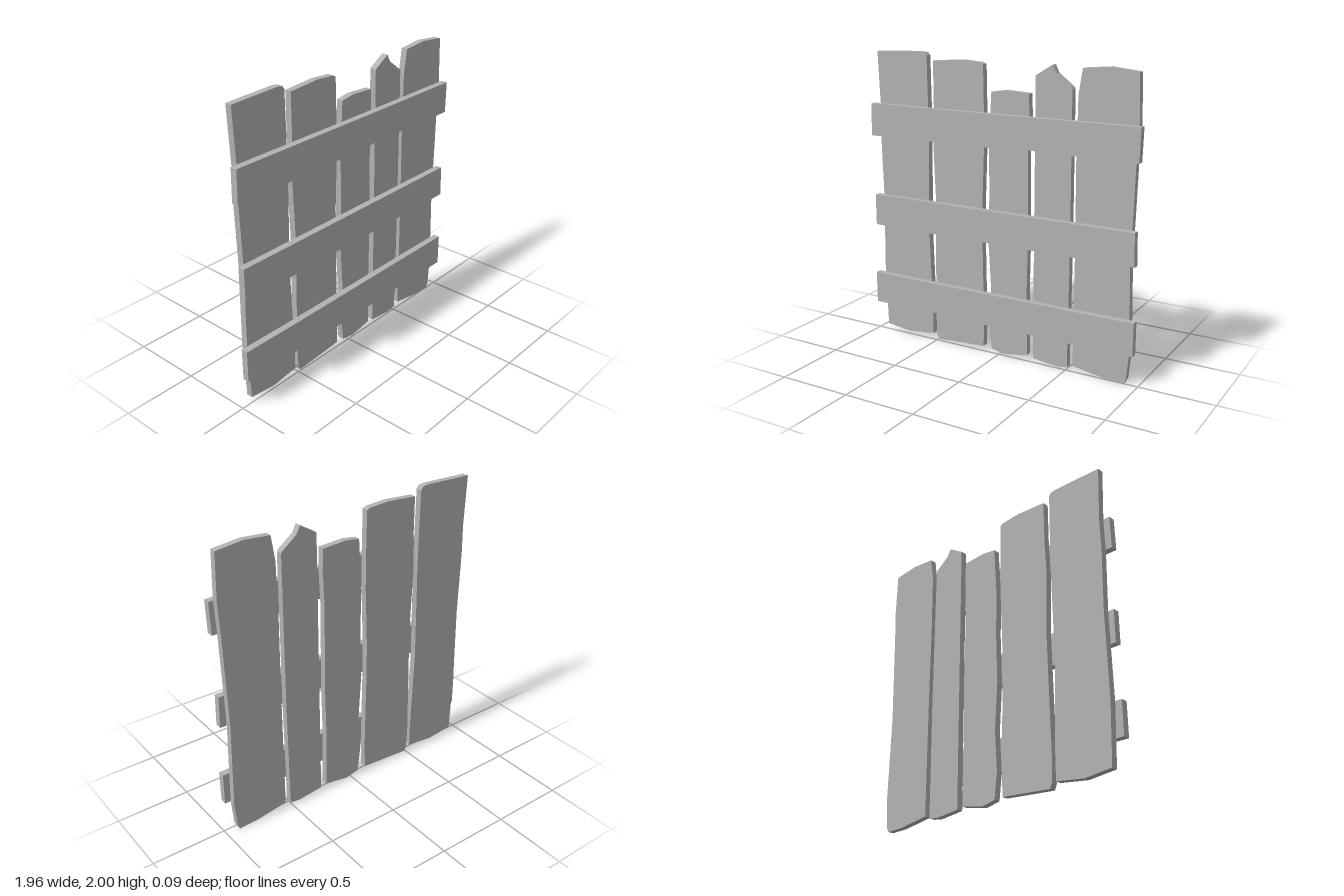
import * as THREE from 'three';

const wood = new THREE.MeshStandardMaterial({ color: 0xb2b2b2 });
wood.name = 'plain grey wood';

// Hand-cut board outlines as x, y pairs, counter-clockwise from the lower left
const planks = [
  [-0.92, 0.04, -0.73, 0.02, -0.53, 0.045, -0.53, 0.21, -0.55, 0.79, -0.54, 1.4, -0.54, 1.64,
    -0.545, 1.975, -0.56, 1.995, -0.6, 2, -0.945, 1.99, -0.93, 1.62, -0.935, 1.4, -0.925, 1, -0.935, 0.43],
  [-0.485, 0.01, -0.12, 0.035, -0.115, 0.21, -0.125, 0.79, -0.125, 1.01, -0.11, 1.42, -0.11, 1.64,
    -0.115, 1.94, -0.135, 1.95, -0.275, 1.96, -0.495, 1.945, -0.495, 1.64, -0.505, 1.42, -0.49, 1, -0.505, 0.21, -0.5, 0.045],
  [-0.055, 0.03, 0.045, 0.01, 0.215, 0.04, 0.21, 0.5, 0.215, 0.79, 0.21, 1.4, 0.22, 1.64, 0.215, 1.775,
    0.045, 1.785, -0.055, 1.77, -0.075, 1.42, -0.07, 1.13, -0.08, 0.79, -0.06, 0.47, -0.075, 0.2],
  [0.26, 0.03, 0.44, 0.01, 0.51, 0.02, 0.515, 0.8, 0.51, 1.82, 0.5, 1.835, 0.4, 1.91, 0.375, 1.96, 0.26, 1.89, 0.26, 1.2],
  [0.55, 0.04, 0.775, 0.005, 0.905, 0, 0.92, 0.03, 0.935, 0.21, 0.92, 0.79, 0.935, 1.42, 0.945, 1.64,
    0.935, 1.945, 0.75, 1.965, 0.575, 1.95, 0.55, 1.79, 0.545, 1.4, 0.55, 0.8],
];
const rails = [
  [-0.98, 0.215, -0.4, 0.22, -0.2, 0.21, 0.975, 0.21, 0.975, 0.43, -0.6, 0.43, -0.98, 0.435],
  [-0.965, 0.79, -0.6, 0.785, -0.3, 0.79, 0, 0.785, 0.965, 0.785, 0.96, 1, -0.965, 1.005],
  [-0.98, 1.42, -0.4, 1.42, 0.1, 1.42, 0.24, 1.43, 0.4, 1.425, 0.97, 1.42, 0.975, 1.635, 0.2, 1.635, -0.975, 1.64],
];

// Extrude one board outline with square edges
function board(name, outline, depth, z) {
  const points = [];
  for (let i = 0; i < outline.length; i += 2) points.push(new THREE.Vector2(outline[i], outline[i + 1]));
  const geometry = new THREE.ExtrudeGeometry(new THREE.Shape(points), { depth, bevelEnabled: false });
  const mesh = new THREE.Mesh(geometry, wood);
  mesh.name = name;
  mesh.position.z = z;
  return mesh;
}

export function createModel() {
  const fence = new THREE.Group();
  fence.name = 'fencePanel';
  // Upright planks behind, cross rails in front
  planks.forEach((p, i) => fence.add(board(`plank${i + 1}`, p, 0.044, -0.044)));
  rails.forEach((r, i) => fence.add(board(`rail${i + 1}`, r, 0.046, 0)));
  return fence;
}
